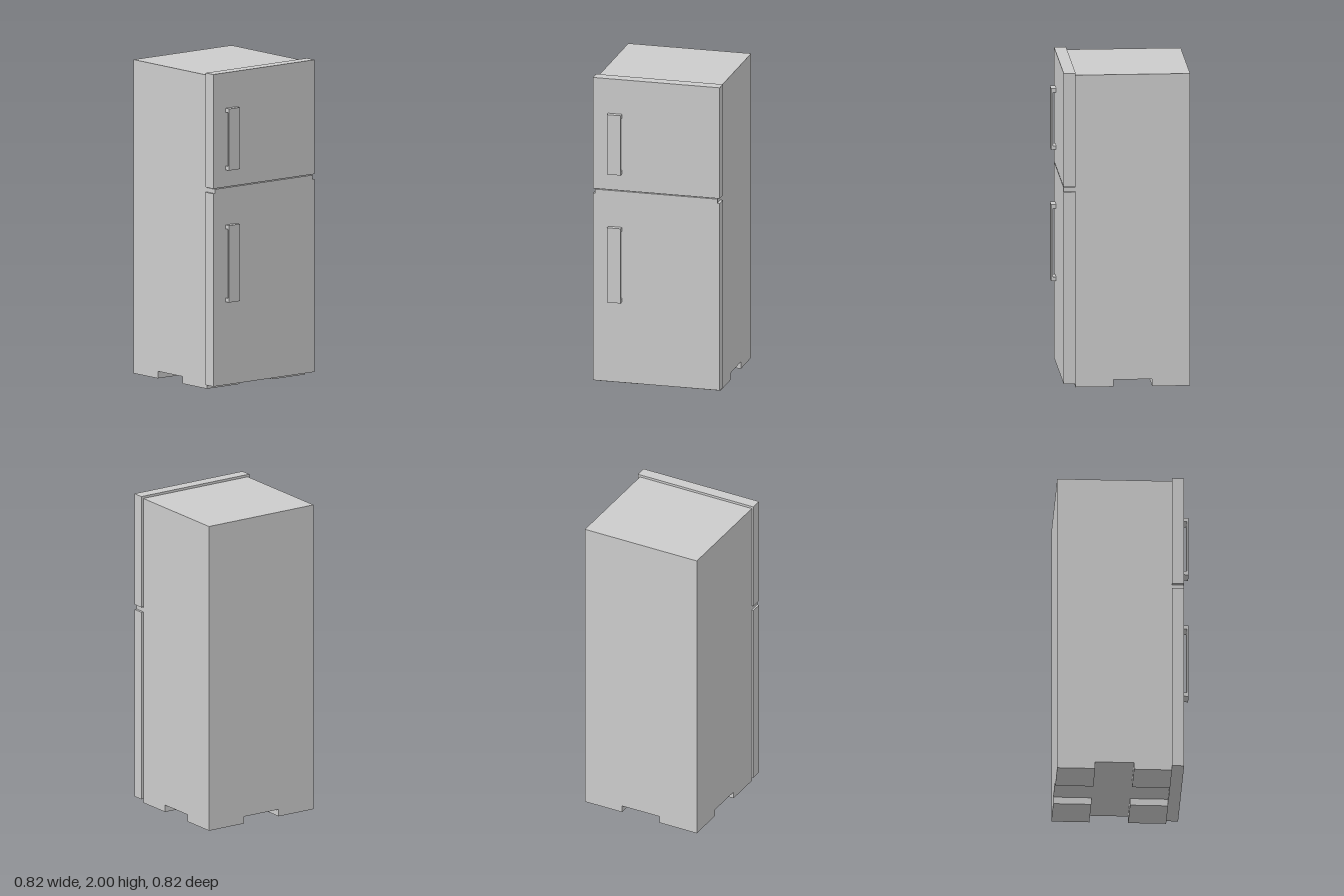
import * as THREE from 'three';

const material = new THREE.MeshStandardMaterial({ color: 0xcccccc });

export function createModel() {
  const model = new THREE.Group();
  model.name = 'refrigerator';

  // Box given by its min and max along each axis
  const box = (name, [x0, x1], [y0, y1], [z0, z1]) => {
    const mesh = new THREE.Mesh(new THREE.BoxGeometry(x1 - x0, y1 - y0, z1 - z0), material);
    mesh.position.set((x0 + x1) / 2, (y0 + y1) / 2, (z0 + z1) / 2);
    mesh.name = name;
    model.add(mesh);
  };

  // C-shaped pull handle: side profile extruded across its width
  const handle = (name, y0, y1) => {
    const back = 0.379, grip = 0.4, front = 0.412, end = 0.025;
    const profile = new THREE.Shape([
      [back, y0], [front, y0], [front, y1], [back, y1],
      [back, y1 - end], [grip, y1 - end], [grip, y0 + end], [back, y0 + end],
    ].map(([z, y]) => new THREE.Vector2(z, y)));
    const geometry = new THREE.ExtrudeGeometry(profile, { depth: 0.088, bevelEnabled: false });
    geometry.rotateY(-Math.PI / 2);
    const mesh = new THREE.Mesh(geometry, material);
    mesh.position.x = -0.223;
    mesh.name = name;
    model.add(mesh);
  };

  // Cabinet
  const bodyX = [-0.4, 0.394];
  box('cabinet', bodyX, [0.045, 1.985], [-0.412, 0.304]);

  // Doors, with the narrower rail that fills the gap between them
  const doorX = [-0.411, 0.409], doorZ = [0.304, 0.379];
  box('freezerDoor', doorX, [1.277, 2], doorZ);
  box('lowerDoor', doorX, [0.025, 1.245], doorZ);
  box('doorRail', [-0.398, 0.393], [1.245, 1.272], doorZ);

  // Handles
  handle('freezerHandle', 1.385, 1.775);
  handle('lowerHandle', 0.55, 1.037);

  // Four flat feet flush with the cabinet corners
  for (const x of [[-0.4, -0.135], [0.13, 0.394]]) {
    for (const z of [[-0.412, -0.175], [0.067, 0.304]]) {
      box('foot', x, [0, 0.045], z);
    }
  }

  return model;
}
